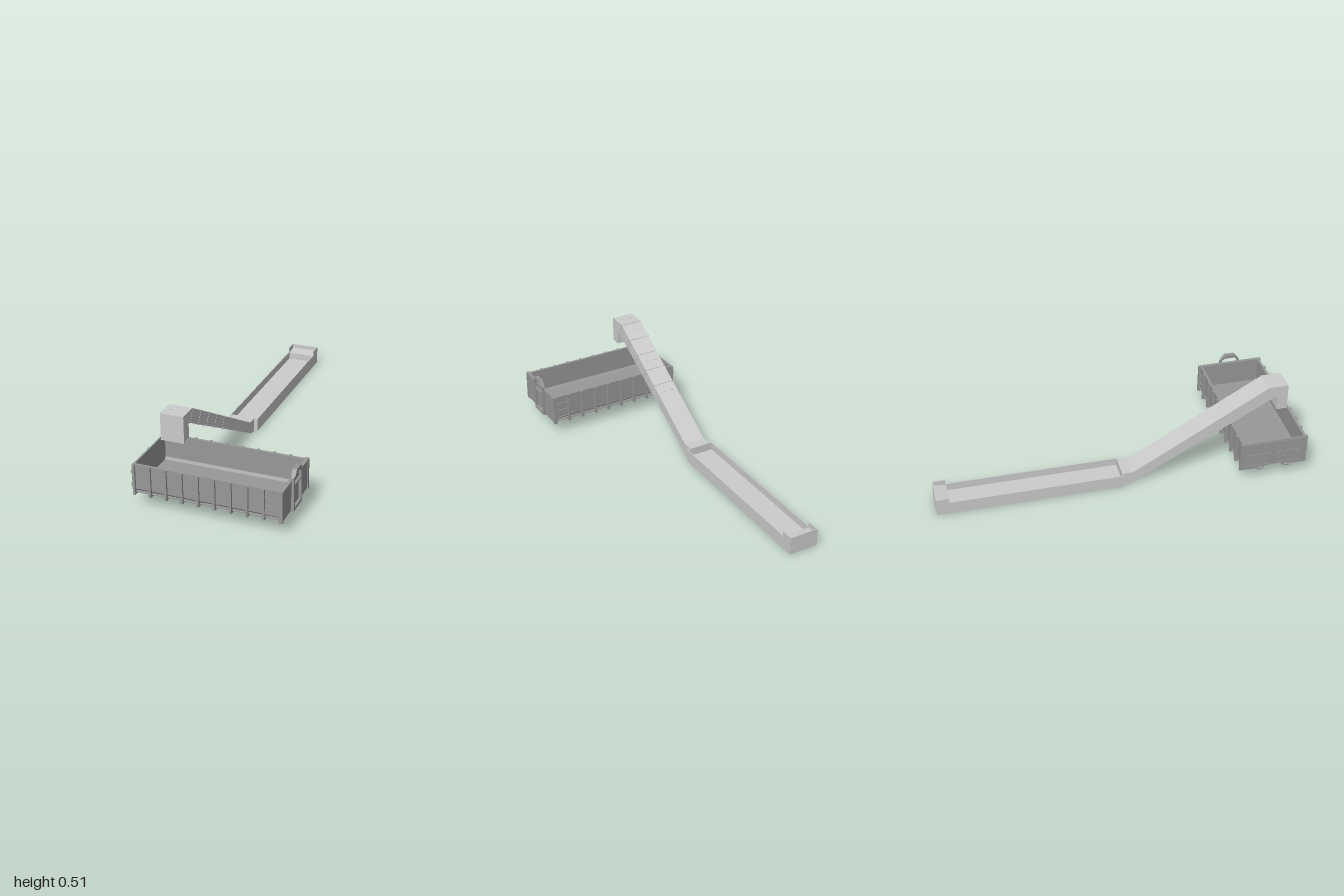
import * as THREE from 'three';

const steel = new THREE.MeshStandardMaterial({ color: 0xcccccc, side: THREE.DoubleSide });
const dark = new THREE.MeshStandardMaterial({ color: 0x989898, side: THREE.DoubleSide });

function add(parent, name, geo, mat) {
  const m = new THREE.Mesh(geo, mat);
  m.name = name;
  parent.add(m);
  return m;
}

// Box given by its limits on each axis
function box(parent, name, mat, x0, x1, y0, y1, z0, z1) {
  const m = add(parent, name, new THREE.BoxGeometry(x1 - x0, y1 - y0, z1 - z0), mat);
  m.position.set((x0 + x1) / 2, (y0 + y1) / 2, (z0 + z1) / 2);
  return m;
}

// Side profile of [z, y] points, extruded from x0 to x1
function profile(parent, name, mat, pts, x0, x1, hole) {
  const shape = new THREE.Shape(pts.map(p => new THREE.Vector2(...p)));
  if (hole) shape.holes.push(new THREE.Path(hole.map(p => new THREE.Vector2(...p))));
  const geo = new THREE.ExtrudeGeometry(shape, { depth: x1 - x0, bevelEnabled: false });
  geo.rotateY(-Math.PI / 2).translate(x1, 0, 0);
  return add(parent, name, geo, mat);
}

// Flat sheet bent along a path of [z, y] points
function sheet(parent, name, mat, pts, x0, x1, t = 0.003) {
  for (let i = 0; i + 1 < pts.length; i++) {
    const [za, ya] = pts[i], [zb, yb] = pts[i + 1];
    const m = add(parent, name, new THREE.BoxGeometry(x1 - x0, t, Math.hypot(zb - za, yb - ya)), mat);
    m.position.set((x0 + x1) / 2, (ya + yb) / 2, (za + zb) / 2);
    m.rotation.x = -Math.atan2(yb - ya, zb - za);
  }
}

function createTrough() {
  const g = new THREE.Group();
  g.name = 'feedTrough';
  const x0 = -0.29, x1 = -0.127, t = 0.005;
  const cheek = [[-1, 0], [0.01, 0], [0.01, 0.073], [-0.93, 0.073], [-0.93, 0.1], [-1, 0.1]];
  profile(g, 'troughSide', steel, cheek, x0, x0 + t);
  profile(g, 'troughSide', steel, cheek, x1 - t, x1);
  box(g, 'troughBottom', steel, x0 + t, x1 - t, 0, 0.004, -1, 0.01);
  box(g, 'troughBelt', steel, x0 + t, x1 - t, 0.025, 0.03, -0.995, 0.005);
  box(g, 'rearWall', steel, x0 + t, x1 - t, 0, 0.1, -1, -0.995);
  box(g, 'frontWall', steel, x0 + t, x1 - t, 0.004, 0.073, 0.004, 0.01);
  // Tail pulley cover
  sheet(g, 'tailCover', steel, [[-0.995, 0.075], [-0.93, 0.066], [-0.93, 0.03]], x0 + t, x1 - t);
  return g;
}

function createConveyor() {
  const g = new THREE.Group();
  g.name = 'inclinedConveyor';
  const x0 = -0.271, x1 = -0.147, t = 0.004;
  const under = [[0.005, 0.001], [0.035, 0.001], [0.055, 0.005], [0.08, 0.019], [0.855, 0.45], [0.855, 0.36]];
  const over = [[0.91, 0.36], [0.91, 0.503], [0.805, 0.503], [0.075, 0.079], [0.058, 0.073], [0.005, 0.073]];
  const outline = [...under, ...over];
  profile(g, 'conveyorSide', steel, outline, x0, x0 + t);
  profile(g, 'conveyorSide', steel, outline, x1 - t, x1);
  sheet(g, 'conveyorUnderside', steel, under, x0, x1);
  sheet(g, 'conveyorCover', steel, over, x0, x1);

  // Section flanges across the incline
  const slope = Math.atan2(0.424, 0.73);
  const topY = z => 0.079 + (z - 0.075) * 0.424 / 0.73;
  for (let i = 0; i < 5; i++) {
    const z = 0.42 + i * 0.095;
    const f = new THREE.Group();
    f.name = 'sectionFlange';
    f.position.set((x0 + x1) / 2, topY(z), z);
    f.rotation.x = -slope;
    const w = (x1 - x0) / 2;
    box(f, 'flangeTop', steel, -w, w, -0.001, 0.004, -0.003, 0.003);
    box(f, 'flangeBottom', steel, -w, w, -0.072, -0.06, -0.003, 0.003);
    for (const s of [-1, 1]) box(f, 'flangeSide', steel, s * w - 0.001, s * w + 0.001, -0.072, 0.004, -0.003, 0.003);
    g.add(f);
  }
  // Pairs of cover handles
  for (const z of [0.37, 0.56, 0.75, 0.86]) {
    for (const dx of [-0.025, 0.025]) {
      const h = add(g, 'coverHandle', new THREE.TorusGeometry(0.01, 0.0015, 5, 10, Math.PI), steel);
      h.scale.y = 0.6;
      h.position.set((x0 + x1) / 2 + dx, Math.min(topY(z), 0.503), z);
    }
  }
  // Seams on the discharge chute
  for (const y of [0.36, 0.443]) {
    box(g, 'chuteFlange', steel, x0 - 0.001, x1 + 0.001, y, y + 0.003, 0.908, 0.912);
    for (const x of [x0, x1]) box(g, 'chuteFlange', steel, x - 0.0015, x + 0.0015, y, y + 0.003, 0.855, 0.912);
  }
  return g;
}

function createContainer() {
  const g = new THREE.Group();
  g.name = 'skipContainer';
  g.position.z = 0.812;
  const xa = -0.392, xb = 0.39, top = 0.243;

  // Tub cross-section with chamfered lower edges
  const half = [[0.176, top], [0.176, 0.105], [0.16, 0.09]];
  const inner = [[0.155, 0.1], [0.168, 0.112], [0.168, top]];
  const mirror = a => a.map(([z, y]) => [-z, y]).reverse();
  profile(g, 'tub', dark, [...half, ...mirror(half), ...mirror(inner), ...inner], xa, xb);
  for (const s of [-1, 1]) {
    const side = (name, x0, x1, y0, y1, z0, z1) =>
      box(g, name, dark, x0, x1, y0, y1, Math.min(s * z0, s * z1), Math.max(s * z0, s * z1));
    side('topRail', xa, xb, 0.232, top, 0.166, 0.179);
    side('lowerRail', xa, xb, 0.086, 0.091, 0.13, 0.176);
    side('skidRail', xa - 0.005, xb, 0.075, 0.09, 0.05, 0.065);
    // Side ribs with their feet
    for (let i = 0; i < 10; i++) {
      const x = -0.387 + i * 0.0853;
      side('sideRib', x - 0.0065, x + 0.0065, 0.075, top, 0.174, 0.188);
      side('ribFoot', x - 0.0065, x + 0.0065, 0.075, 0.092, 0.065, 0.18);
    }
    // Ladder rungs beside the front end
    for (const y of [0.113, 0.157, 0.202]) side('ladderRung', 0.297, 0.384, y - 0.002, y + 0.002, 0.182, 0.187);
    // Door leaf frame
    side('doorPost', -0.396, -0.388, 0.09, top, 0.162, 0.18);
    side('doorStile', -0.396, -0.39, 0.09, top, 0.002, 0.01);
    for (const y of [0.094, 0.165, 0.232]) side('doorBar', -0.396, -0.39, y - 0.004, y + 0.004, 0.01, 0.165);
    for (const y of [0.13, 0.2]) side('doorHinge', -0.401, -0.392, y - 0.008, y + 0.008, 0.05, 0.058);
    for (const y of [0.13, 0.2]) side('doorHinge', -0.401, -0.392, y - 0.008, y + 0.008, 0.176, 0.184);
    // Ground rollers
    const r = add(g, 'roller', new THREE.CylinderGeometry(0.007, 0.007, 0.03, 16), dark);
    r.rotation.x = Math.PI / 2;
    r.position.set(-0.402, 0.081, s * 0.075);
  }
  box(g, 'doorPanel', dark, -0.392, -0.384, 0.09, top, -0.17, 0.17);
  box(g, 'frontPanel', dark, 0.378, 0.39, 0.09, top, -0.176, 0.176);
  box(g, 'frontTopRail', dark, 0.376, 0.394, 0.232, top, -0.18, 0.18);
  for (const s of [-1, 1]) box(g, 'frontPost', dark, 0.376, 0.394, 0.075, top, s * 0.18 - 0.008, s * 0.18 + 0.008);

  // Lifting arch on the front panel
  profile(g, 'liftingFrame', dark,
    [[-0.058, 0.075], [0.058, 0.075], [0.058, 0.255], [0.03, 0.285], [-0.03, 0.285], [-0.058, 0.255]], 0.39, 0.404,
    [[-0.046, 0.09], [-0.046, 0.25], [-0.024, 0.273], [0.024, 0.273], [0.046, 0.25], [0.046, 0.09]]);
  box(g, 'archCrossbar', dark, 0.39, 0.402, 0.202, 0.213, -0.05, 0.05);
  profile(g, 'liftingGrip', dark,
    [[-0.05, 0.265], [-0.028, 0.291], [0.028, 0.291], [0.05, 0.265], [0.04, 0.265], [0.022, 0.27], [-0.022, 0.27], [-0.04, 0.265]],
    0.386, 0.408);
  return g;
}

export function createModel() {
  const model = new THREE.Group();
  model.name = 'conveyorAndSkip';
  model.add(createTrough(), createConveyor(), createContainer());
  return model;
}
